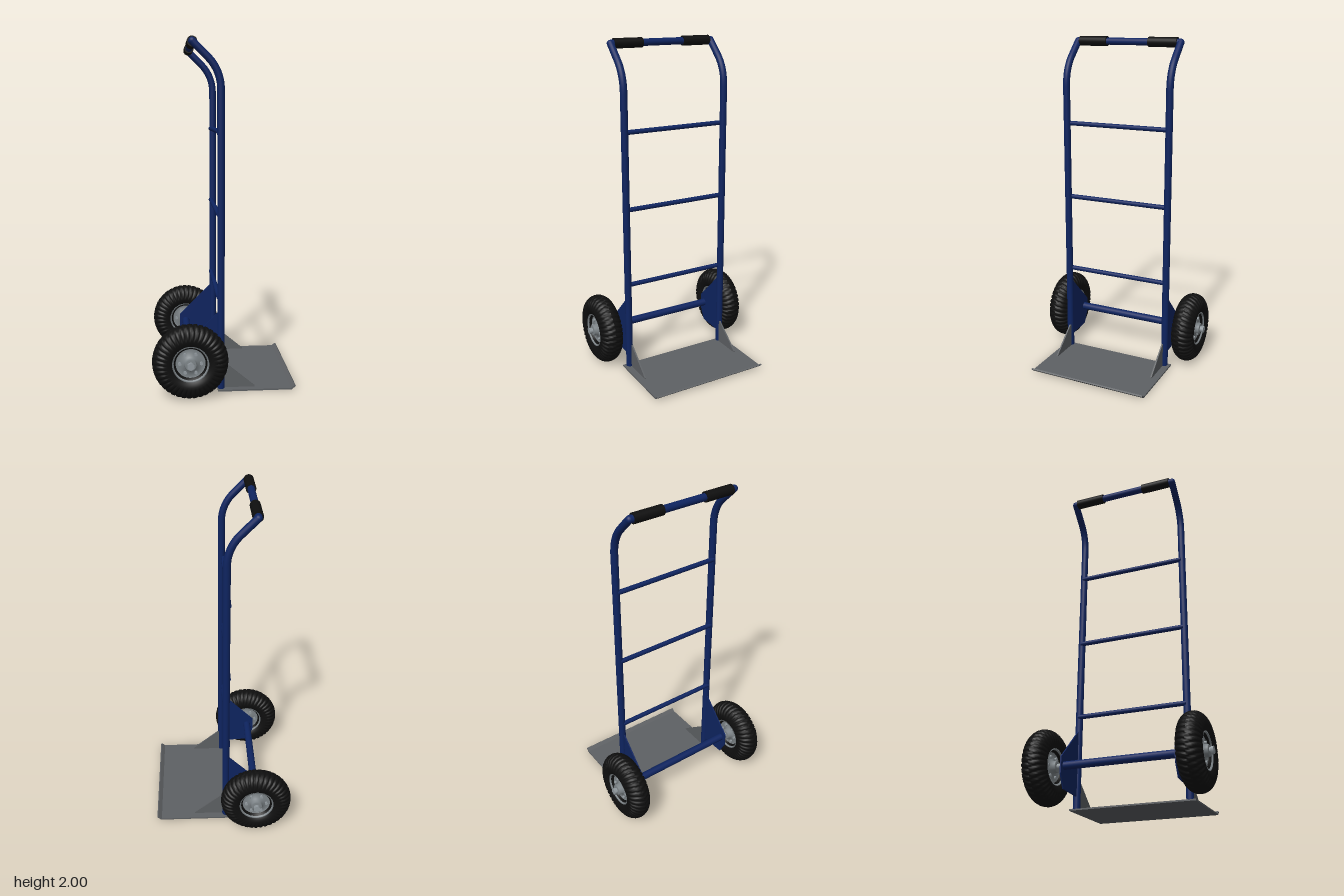
import * as THREE from 'three';

const mat = (name, color, side = THREE.FrontSide) => {
  const m = new THREE.MeshStandardMaterial({ color, side });
  m.name = name;
  return m;
};

export function createModel() {
  const blue = mat('blue paint', 0x0e2460);
  const steel = mat('grey plate steel', 0x5e6164);
  const rimMetal = mat('rim metal', 0x7d8488);
  const bright = mat('bright metal', 0x929a9f);
  const rubber = mat('black rubber', 0x0f0f0f);

  const group = new THREE.Group();
  group.name = 'handTruck';
  const add = (parent, name, geometry, material) => {
    const mesh = new THREE.Mesh(geometry, material);
    mesh.name = name;
    parent.add(mesh);
    return mesh;
  };
  // Rod lying along z, centred on (x, y, z)
  const rod = (parent, name, r, length, x, y, z, material, sides = 20) => {
    const g = new THREE.CylinderGeometry(r, r, length, sides).rotateX(Math.PI / 2);
    add(parent, name, g, material).position.set(x, y, z);
  };
  // Side outline in x, y given thickness along z, centred on z
  const slab = (name, points, thickness, z, material) => {
    const shape = new THREE.Shape(points.map(([x, y]) => new THREE.Vector2(x, y)));
    const g = new THREE.ExtrudeGeometry(shape, { depth: thickness, bevelEnabled: false });
    add(group, name, g.translate(0, 0, z - thickness / 2), material);
  };

  const railZ = 0.333, railR = 0.021;
  const handleX = -0.176, handleY = 1.971;
  const axleX = -0.2, axleY = 0.215;

  // Upright rails bending back to the handle
  const V = (x, y) => new THREE.Vector3(x, y, 0);
  const path = new THREE.CurvePath();
  path.add(new THREE.LineCurve3(V(-0.02, 0.01), V(-0.02, 1.71)));
  path.add(new THREE.QuadraticBezierCurve3(V(-0.02, 1.71), V(-0.02, 1.81), V(-0.085, 1.88)));
  path.add(new THREE.LineCurve3(V(-0.085, 1.88), V(handleX, handleY)));
  for (const s of [1, -1]) {
    const side = s > 0 ? 'right' : 'left';
    const z = s * railZ;
    add(group, side + 'Rail', new THREE.TubeGeometry(path, 120, railR, 16), blue).position.z = z;
    add(group, side + 'Elbow', new THREE.SphereGeometry(railR, 16, 12), blue)
      .position.set(handleX, handleY, z);
    rod(group, side + 'Grip', 0.029, 0.18, handleX, handleY, s * 0.225, rubber, 24);

    // Axle bracket behind the rail
    slab(side + 'AxleBracket',
      [[-0.03, 0.47], [-0.24, 0.26], [-0.24, 0.17], [-0.2, 0.09], [-0.03, 0.08]],
      0.008, s * 0.33, blue);
    // Toe plate brace in front of the rail
    slab(side + 'Brace', [[-0.01, 0.012], [0.176, 0.012], [0.176, 0.018], [0.005, 0.16], [-0.01, 0.16]],
      0.009, s * 0.325, steel);
  }

  // Handle, rungs and axle tube
  rod(group, 'handleBar', railR, railZ * 2, handleX, handleY, 0, blue);
  for (const y of [0.55, 1.025, 1.486]) rod(group, 'rung', 0.014, railZ * 2, -0.032, y, 0, blue);
  rod(group, 'axleTube', 0.023, 0.66, axleX, axleY + 0.002, 0, blue);

  // Toe plate with raised front lip
  slab('toePlate',
    [[-0.04, 0.004], [0.388, 0.004], [0.412, 0.024], [0.405, 0.03], [0.384, 0.013], [-0.04, 0.013]],
    0.74, 0, steel);

  // Axle with end nuts
  rod(group, 'axle', 0.016, 1.03, axleX, axleY, 0, bright);
  for (const s of [1, -1]) rod(group, 'axleNut', 0.022, 0.016, axleX, axleY, s * 0.517, bright, 6);

  // Tyre: torus with chevron lugs cut into the outer half
  const tyre = new THREE.TorusGeometry(0.143, 0.07, 32, 240);
  const p = tyre.attributes.position;
  for (let i = 0; i < p.count; i++) {
    const x = p.getX(i), y = p.getY(i), z = p.getZ(i);
    const r = Math.hypot(x, y), a = Math.atan2(y, x);
    const out = (r - 0.143) / 0.07;
    const groove = Math.sin(a * 40 + Math.abs(z) * 45 + (z > 0 ? 1.5 : 0)) < -0.45;
    if (out > 0.1 && groove) {
      const k = 1 - 0.005 / 0.07;
      const nr = 0.143 + (r - 0.143) * k;
      p.setXYZ(i, x * nr / r, y * nr / r, z * k);
    }
  }
  tyre.computeVertexNormals();

  // Rim: dished disc with a raised hub on both faces
  const half = [[0.03, 0.068], [0.034, 0.064], [0.034, 0.036], [0.078, 0.032],
    [0.09, 0.04], [0.096, 0.057], [0.106, 0.057]];
  const profile = [[0, 0.068], ...half, ...half.map(([r, z]) => [r, -z]).reverse(), [0, -0.068]]
    .reverse().map(([r, z]) => new THREE.Vector2(r, z));
  const rim = new THREE.LatheGeometry(profile, 48).rotateX(Math.PI / 2);

  for (const s of [1, -1]) {
    const wheel = new THREE.Group();
    wheel.name = s > 0 ? 'rightWheel' : 'leftWheel';
    wheel.position.set(axleX, axleY, s * 0.434);
    group.add(wheel);
    add(wheel, 'tyre', tyre, rubber);
    add(wheel, 'rim', rim, rimMetal);
    for (const f of [1, -1]) {
      for (let i = 0; i < 6; i++) {
        const a = i * Math.PI / 3;
        rod(wheel, 'wheelBolt', 0.01, 0.016, 0.06 * Math.cos(a), 0.06 * Math.sin(a), f * 0.037, bright, 6);
      }
    }
  }
  return group;
}
